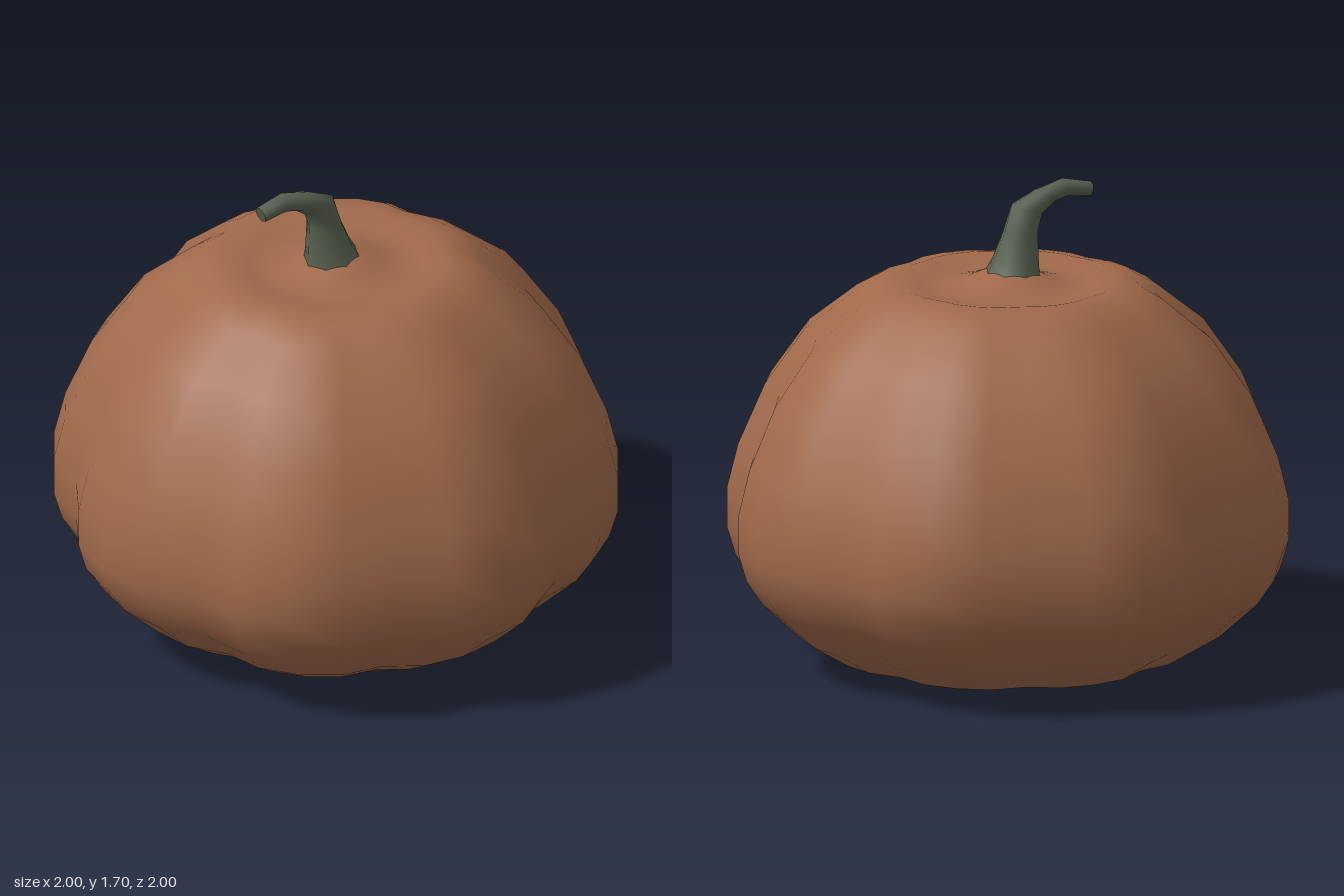
import * as THREE from 'three';
import { mergeVertices } from 'three/addons/utils/BufferGeometryUtils.js';

const LOBES = 8;

// Pumpkin body: a lathe whose radius is pinched into grooves between the lobes
function createBody(material) {
  // radius, height, groove strength; from bottom centre to top centre
  const profile = [
    [0, 0.02, 0], [0.14, 0.01, 0], [0.28, 0.005, 0.3], [0.48, 0.025, 0.7], [0.64, 0.05, 1],
    [0.77, 0.13, 1], [0.91, 0.26, 1], [0.97, 0.35, 1], [1, 0.45, 1], [1, 0.59, 1],
    [0.96, 0.75, 1], [0.865, 0.97, 1], [0.725, 1.17, 1], [0.55, 1.31, 1],
    [0.47, 1.355, 0.8], [0.39, 1.37, 0.5], [0.31, 1.355, 0.3], [0.24, 1.345, 0.1],
    [0.15, 1.37, 0], [0.07, 1.405, 0], [0, 1.41, 0],
  ];
  const geometry = new THREE.LatheGeometry(profile.map(([r, y]) => new THREE.Vector2(r, y)), LOBES * 4);
  const pos = geometry.attributes.position;
  for (let i = 0; i < pos.count; i++) {
    const x = pos.getX(i), z = pos.getZ(i);
    const groove = Math.abs(Math.sin(Math.atan2(x, z) * LOBES / 2)) ** 5;
    const k = 1 - 0.067 * profile[i % profile.length][2] * groove;
    pos.setX(i, x * k);
    pos.setZ(i, z * k);
  }
  // weld the seam so the shading stays smooth all round
  geometry.deleteAttribute('uv');
  geometry.deleteAttribute('normal');
  const welded = mergeVertices(geometry, 1e-4);
  welded.computeVertexNormals();
  const mesh = new THREE.Mesh(welded, material);
  mesh.name = 'body';
  return mesh;
}

// Stem: elliptical sections bending forward, with a flat cut tip
function createStem(material) {
  const SIDES = 8;
  // inner edge (z, y), outer edge (z, y), half width
  const sections = [
    [0.12, 1.36, -0.085, 1.395, 0.1],
    [0.118, 1.43, -0.055, 1.445, 0.078],
    [0.115, 1.54, -0.015, 1.535, 0.06],
    [0.135, 1.595, 0.015, 1.635, 0.05],
    [0.18, 1.63, 0.115, 1.68, 0.042],
    [0.235, 1.64, 0.215, 1.708, 0.035],
    [0.318, 1.628, 0.33, 1.682, 0.03],
  ];
  const ring = ([z0, y0, z1, y1, w]) => Array.from({ length: SIDES }, (_, i) => {
    const a = i / SIDES * Math.PI * 2, c = Math.cos(a) / 2;
    return [Math.sin(a) * w, (y0 + y1) / 2 + (y0 - y1) * c, (z0 + z1) / 2 + (z0 - z1) * c];
  });
  const rings = sections.map(ring);
  const points = rings.flat();
  const index = [];
  for (let j = 0; j < sections.length - 1; j++) {
    for (let i = 0; i < SIDES; i++) {
      const a = j * SIDES + i, b = j * SIDES + (i + 1) % SIDES;
      index.push(a, b, a + SIDES, b, b + SIDES, a + SIDES);
    }
  }
  // tip cap on its own vertices, for a crisp rim
  const first = points.length;
  points.push(...rings[rings.length - 1]);
  for (let i = 1; i < SIDES - 1; i++) index.push(first, first + i, first + i + 1);

  const geometry = new THREE.BufferGeometry();
  geometry.setAttribute('position', new THREE.Float32BufferAttribute(points.flat(), 3));
  geometry.setIndex(index);
  geometry.computeVertexNormals();
  const mesh = new THREE.Mesh(geometry, material);
  mesh.name = 'stem';
  return mesh;
}

export function createModel() {
  const group = new THREE.Group();
  group.name = 'pumpkin';
  group.add(
    createBody(new THREE.MeshStandardMaterial({ color: 0xa0694a })),
    createStem(new THREE.MeshStandardMaterial({ color: 0x586250 })),
  );
  return group;
}
